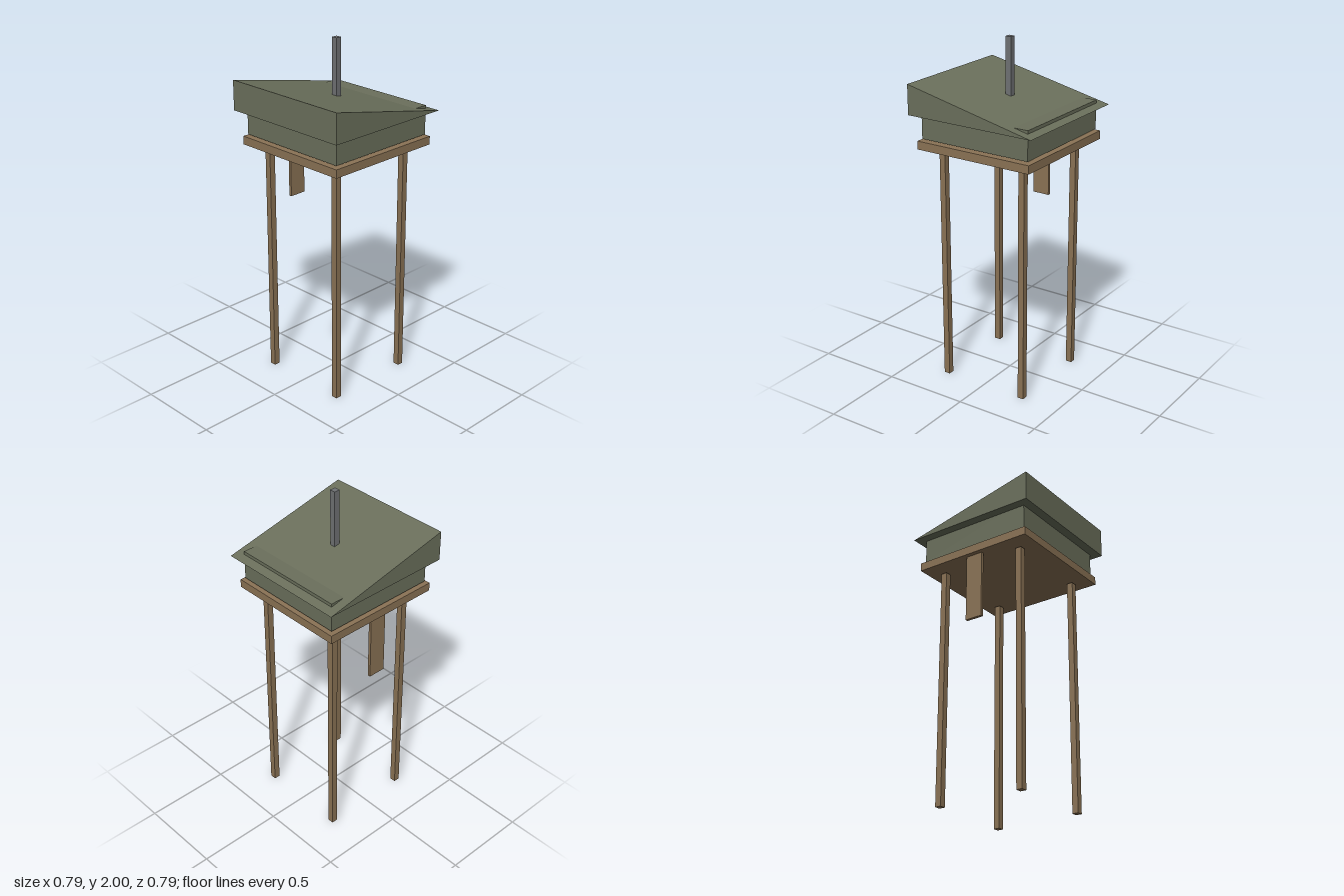
import * as THREE from 'three';

export function createModel() {
  const model = new THREE.Group();
  model.name = 'watchtower';

  const paint = (name, color) => {
    const material = new THREE.MeshStandardMaterial({ color });
    material.name = name;
    return material;
  };
  const wood = paint('brown wood', 0x8b7355);
  const green = paint('olive green', 0x6b705c);
  const metal = paint('grey metal', 0x707274);

  const add = (name, geometry, material) => {
    const mesh = new THREE.Mesh(geometry, material);
    mesh.name = name;
    model.add(mesh);
    return mesh;
  };

  // Box given by its width, depth, bottom, top and centre in x and z
  const box = (name, material, w, d, y0, y1, x = 0, z = 0) =>
    add(name, new THREE.BoxGeometry(w, y1 - y0, d), material).position.set(x, (y0 + y1) / 2, z);

  // Four square legs
  for (const x of [-1, 1]) {
    for (const z of [-1, 1]) {
      const name = (z > 0 ? 'front' : 'back') + (x > 0 ? 'Left' : 'Right') + 'Leg';
      box(name, wood, 0.036, 0.036, 0, 1.382, x * 0.26, z * 0.26);
    }
  }

  // Deck, cabin and hanging board under the deck's right edge
  box('deck', wood, 0.726, 0.726, 1.393, 1.441);
  box('cabin', green, 0.687, 0.687, 1.452, 1.62);
  box('hangingBoard', wood, 0.017, 0.104, 1.003, 1.393, -0.328);

  // Wedge roof, high at the front and tapering to an edge at the back
  const half = 0.395;
  const profile = new THREE.Shape([
    new THREE.Vector2(-half, 1.59),
    new THREE.Vector2(half, 1.59),
    new THREE.Vector2(-half, 1.762),
  ]);
  const wedge = new THREE.ExtrudeGeometry(profile, { depth: 2 * half, bevelEnabled: false });
  wedge.translate(0, 0, -half).rotateY(Math.PI / 2);
  add('roof', wedge, green);

  // Mast through the roof
  box('mast', metal, 0.034, 0.034, 1.62, 2);

  return model;
}
